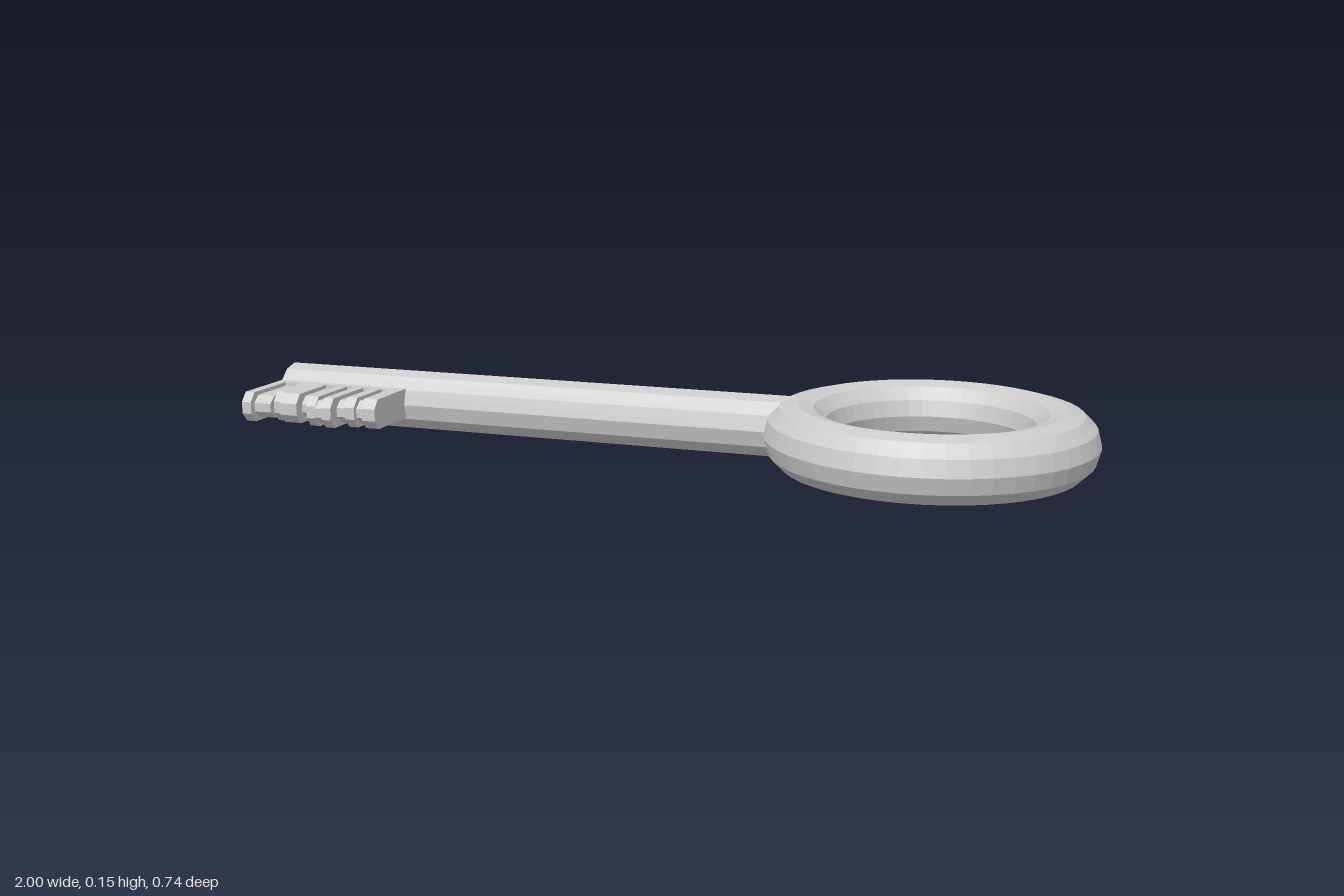
import * as THREE from 'three';

const material = new THREE.MeshStandardMaterial({ color: 0xcccccc, flatShading: true });
const MID = 0.075; // height of the key's centre plane

function add(parent, name, geometry, x, y, z) {
  const mesh = new THREE.Mesh(geometry, material);
  mesh.name = name;
  mesh.position.set(x, y, z);
  parent.add(mesh);
  return mesh;
}

// One slat of the bit: a plate section with a chamfered tip, extruded along x
function slatGeometry(width, tip, half) {
  const shape = new THREE.Shape([
    [0.03, -half], [tip - 0.018, -half], [tip, -half * 0.4],
    [tip, half * 0.4], [tip - 0.018, half], [0.03, half],
  ].map(([z, y]) => new THREE.Vector2(z, y)));
  return new THREE.ExtrudeGeometry(shape, { depth: width, bevelEnabled: false }).rotateY(-Math.PI / 2);
}

export function createModel() {
  const key = new THREE.Group();
  key.name = 'key';

  // Ring handle
  const ring = new THREE.TorusGeometry(0.297, 0.075, 12, 48).rotateX(Math.PI / 2);
  add(key, 'ringHandle', ring, 0.628, MID, 0);

  // Round shaft, ending inside the ring
  const shaft = new THREE.CylinderGeometry(0.073, 0.073, 1.33, 12).rotateZ(Math.PI / 2);
  add(key, 'shaft', shaft, -0.335, MID, 0);

  // Bit: slats of varied reach, with thinner ones forming the grooves
  const bit = new THREE.Group();
  bit.name = 'bit';
  key.add(bit);
  const full = 0.036, groove = 0.027;
  // [right end x, tip z, half thickness]
  const slats = [
    [-0.975, 0.24, full], [-0.93, 0.225, groove], [-0.905, 0.21, full],
    [-0.86, 0.222, full], [-0.825, 0.197, groove], [-0.8, 0.235, full],
    [-0.78, 0.238, groove], [-0.755, 0.242, full], [-0.73, 0.213, groove],
    [-0.705, 0.218, full], [-0.685, 0.208, groove], [-0.65, 0.218, full],
  ];
  let left = -1;
  for (const [right, tip, half] of slats) {
    add(bit, 'bitSlat', slatGeometry(right - left, tip, half), right, MID + 0.003, 0);
    left = right;
  }

  // Plain web joining the slats to the shaft
  add(bit, 'bitRoot', new THREE.BoxGeometry(0.35, 0.072, 0.055), -0.825, MID + 0.003, 0.0575);

  return key;
}
